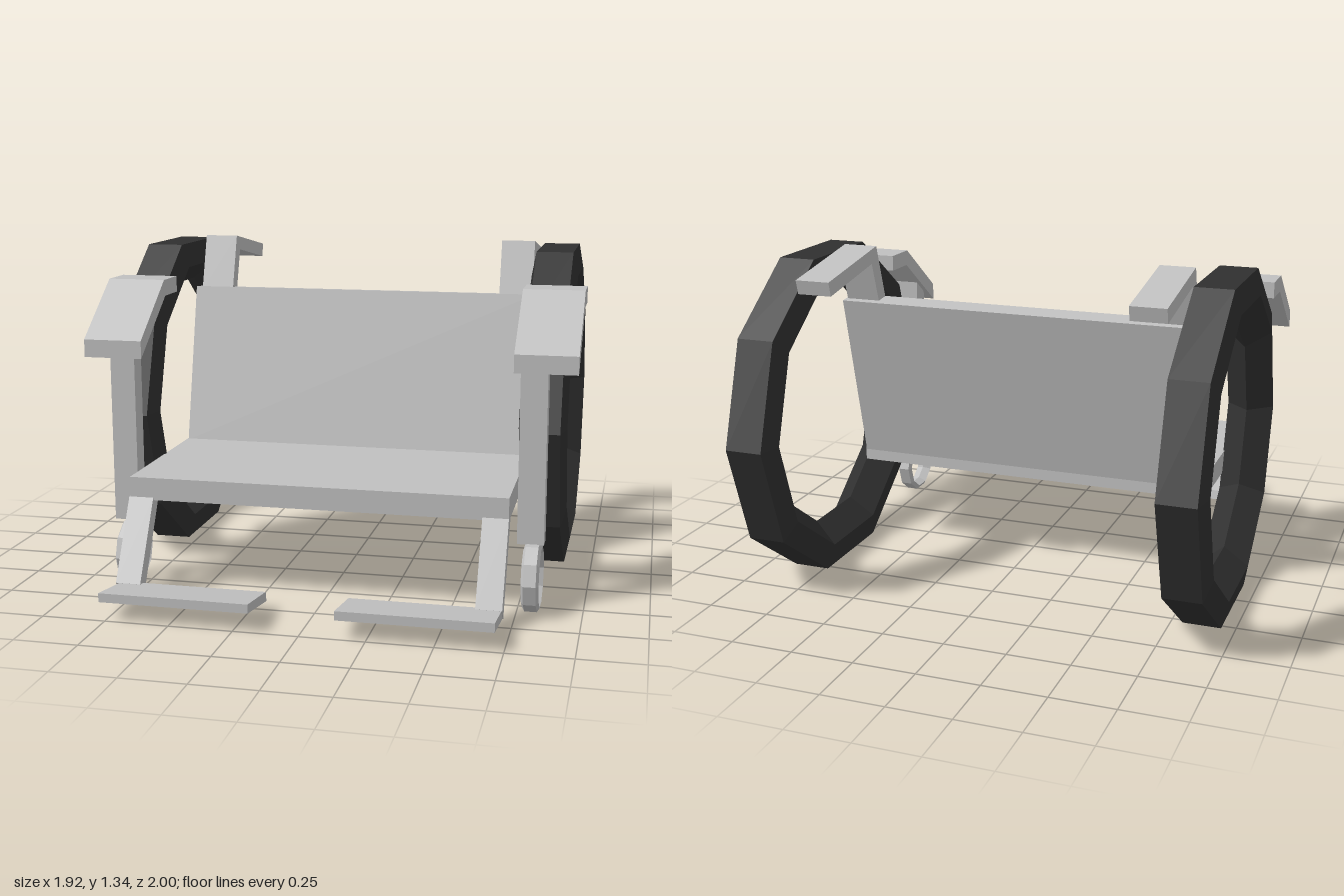
import * as THREE from 'three';

const frame = new THREE.MeshStandardMaterial({ color: 0xc0c0c0 });
frame.name = 'light grey frame';
const rubber = new THREE.MeshStandardMaterial({ color: 0x303030 });
rubber.name = 'dark rubber';

// Side profile of [z, y] points, extruded from x0 to x1
function slab(name, points, x0, x1) {
  const shape = new THREE.Shape(points.map(([z, y]) => new THREE.Vector2(z, y)));
  const geo = new THREE.ExtrudeGeometry(shape, { depth: x1 - x0, bevelEnabled: false });
  geo.rotateY(-Math.PI / 2).translate(x1, 0, 0);
  const mesh = new THREE.Mesh(geo, frame);
  mesh.name = name;
  return mesh;
}

// Faceted ten-sided ring with a five-sided section, axle along x
function ring(name, material, [outer, mid, inner], [treadHalf, midHalf], x, y, z) {
  const section = [
    [inner, 0], [mid, -midHalf], [outer, -treadHalf],
    [outer, treadHalf], [mid, midHalf], [inner, 0],
  ].map(([r, h]) => new THREE.Vector2(r, h));
  const geo = new THREE.LatheGeometry(section, 10).rotateZ(Math.PI / 2).toNonIndexed();
  geo.computeVertexNormals();
  const mesh = new THREE.Mesh(geo, material);
  mesh.name = name;
  mesh.position.set(x, y, z);
  return mesh;
}

export function createModel() {
  const model = new THREE.Group();
  model.name = 'wheelchair';

  // Seat and reclined back
  model.add(slab('seat', [[0.627, 0.375], [0.627, 0.465], [-0.157, 0.465], [-0.157, 0.375]], -0.78, 0.72));
  model.add(slab('backrest', [[-0.068, 0.46], [-0.228, 1.125], [-0.325, 1.115], [-0.157, 0.42], [-0.1, 0.42]], -0.777, 0.717));

  // x ranges for the parts on each side
  const sides = [
    { name: 'right', tyre: -0.87, caster: -0.811, arm: [-0.965, -0.73], post: [-0.885, -0.785],
      handle: [-0.75, -0.61], leg: [-0.785, -0.685], plate: [-0.772, -0.19] },
    { name: 'left', tyre: 0.81, caster: 0.804, arm: [0.722, 0.96], post: [0.742, 0.845],
      handle: [0.57, 0.71], leg: [0.62, 0.72], plate: [0.135, 0.717] },
  ];

  for (const s of sides) {
    // Rear drive wheel and small front wheel
    model.add(ring(s.name + 'RearWheel', rubber, [0.692, 0.588, 0.5], [0.075, 0.095], s.tyre, 0.66, -0.307));
    model.add(ring(s.name + 'FrontWheel', frame, [0.135, 0.118, 0.102], [0.024, 0.034], s.caster, 0.134, 0.525));

    // Armrest bent down at the front, on its upright
    model.add(slab(s.name + 'Armrest', [
      [0.595, 0.933], [0.595, 1.003], [0.316, 1.212], [0.166, 1.212], [0.166, 1.147], [0.305, 1.147],
    ], ...s.arm));
    model.add(slab(s.name + 'ArmPost', [[0.53, 0.26], [0.53, 1.0], [0.455, 1.06], [0.455, 0.26]], ...s.post));

    // Push handle rising from the back
    model.add(slab(s.name + 'PushHandle', [
      [-0.225, 1.105], [-0.3, 1.345], [-0.715, 1.275], [-0.7, 1.218], [-0.345, 1.28], [-0.288, 1.105],
    ], ...s.handle));

    // Leg bar and tilted footplate
    model.add(slab(s.name + 'LegBar', [[0.627, 0.385], [0.795, 0.082], [0.75, 0.037], [0.563, 0.385]], ...s.leg));
    model.add(slab(s.name + 'Footplate', [[1, 0.075], [1, 0.11], [0.76, 0.077], [0.75, 0.037]], ...s.plate));
  }
  return model;
}
